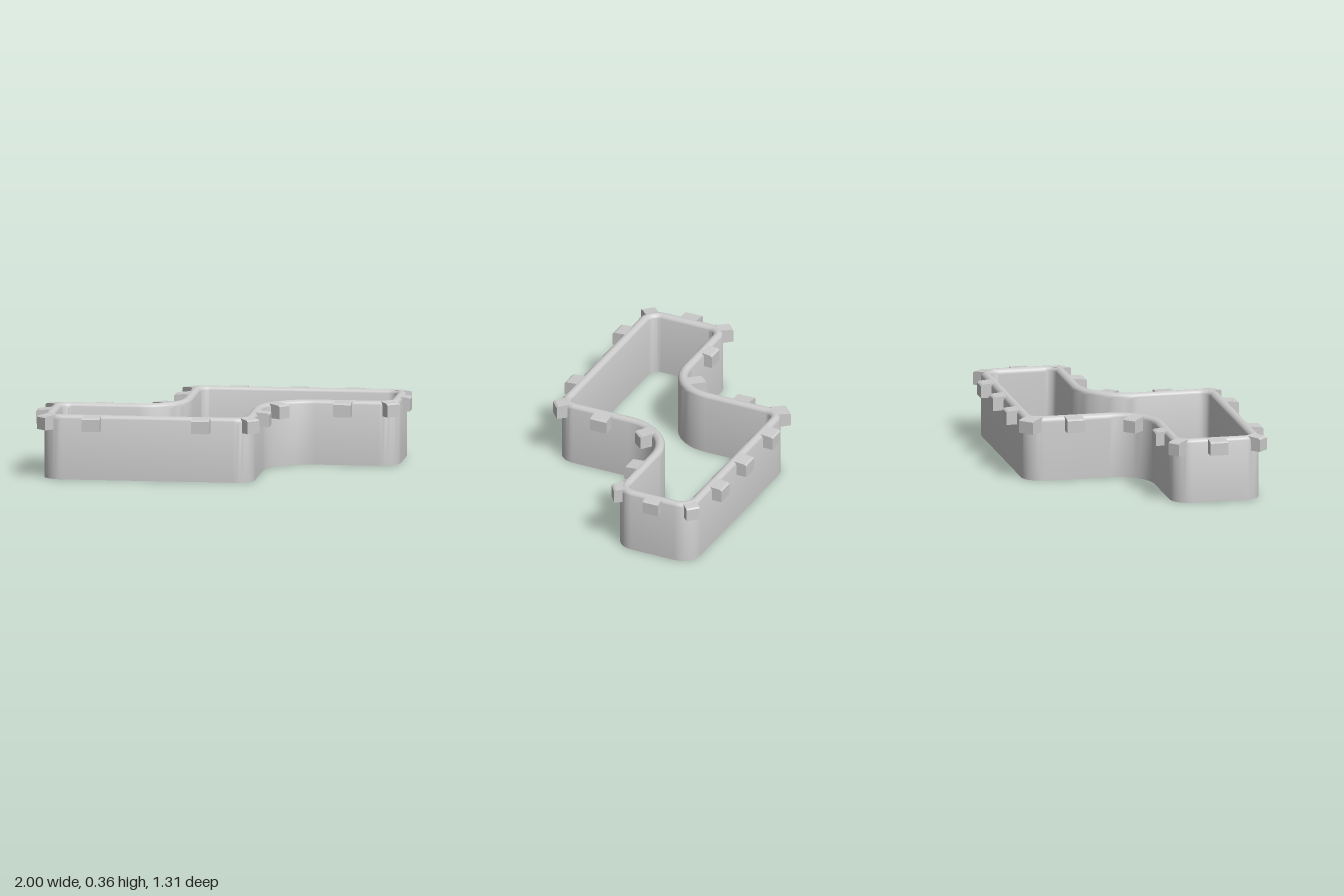
import * as THREE from 'three';
import { toCreasedNormals } from 'three/addons/utils/BufferGeometryUtils.js';

const HEIGHT = 0.36, HALF = 0.029; // wall height and half thickness

// Wall centreline corners: x, z, fillet radius
const CORNERS = [
  [0.928, -0.567, 0.08], [0.928, -0.144, 0.08], [0.206, -0.144, 0.29], [0.206, 0.566, 0.08],
  [-0.91, 0.566, 0.08], [-0.91, 0.12, 0.08], [-0.222, 0.12, 0.24], [-0.222, -0.567, 0.08],
];

// Samples the filleted outline as points with outward normals
function outline(steps = 12) {
  const n = CORNERS.length, result = [];
  const at = (i) => new THREE.Vector2(...CORNERS[(i + n) % n].slice(0, 2));
  for (let i = 0; i < n; i++) {
    const p = at(i), r = CORNERS[i][2];
    const din = p.clone().sub(at(i - 1)).normalize();
    const dout = at(i + 1).sub(p).normalize();
    const sign = Math.sign(din.cross(dout)); // +1 convex, -1 concave
    const centre = p.clone().addScaledVector(din, -r).addScaledVector(dout, r);
    for (let k = 0; k <= steps; k++) {
      const t = (k / steps) * Math.PI / 2, c = Math.cos(t), s = Math.sin(t);
      const normal = new THREE.Vector2(din.y * c + dout.y * s, -din.x * c - dout.x * s);
      result.push({ point: centre.clone().addScaledVector(normal, sign * r), normal });
    }
  }
  return result;
}

// Sweeps the wall section, flat below and half-round on top, along the outline
function wallGeometry() {
  const section = [[-HALF, 0], [HALF, 0]];
  for (let k = 0; k <= 10; k++) {
    const a = (k / 10) * Math.PI;
    section.push([HALF * Math.cos(a), HEIGHT - HALF + HALF * Math.sin(a)]);
  }
  const path = outline(), m = section.length, positions = [], index = [];
  path.forEach(({ point, normal }, i) => {
    section.forEach(([offset, y], j) => {
      positions.push(point.x + normal.x * offset, y, point.y + normal.y * offset);
      const i2 = (i + 1) % path.length, j2 = (j + 1) % m;
      const a = i * m + j, b = i2 * m + j, c = i * m + j2, d = i2 * m + j2;
      index.push(a, c, b, b, c, d);
    });
  });
  const geometry = new THREE.BufferGeometry();
  geometry.setAttribute('position', new THREE.Float32BufferAttribute(positions, 3));
  geometry.setIndex(index);
  return toCreasedNormals(geometry.toNonIndexed(), 0.6);
}

// Block with a gently sloping top; its outer face is at z = 0 and it runs back to -depth
function blockGeometry(width, depth) {
  const side = new THREE.Shape([
    [0, 0.277], [0, 0.345], [-0.01, 0.352], [-depth, 0.359], [-depth, 0.277],
  ].map(([x, y]) => new THREE.Vector2(x, y)));
  const geometry = new THREE.ExtrudeGeometry(side, { depth: width, bevelEnabled: false });
  geometry.translate(0, 0, -width / 2);
  return geometry.rotateY(-Math.PI / 2);
}

// Blocks: centre of outer face x, z, facing angle in degrees (0 = front, 90 = +x), width, depth
const BLOCKS = [
  [0.005, -0.655, 180, 0.1, 0.09], [0.34, -0.655, 180, 0.1, 0.09], [0.65, -0.655, 180, 0.1, 0.09],
  [0.948, -0.601, 135, 0.076, 0.085], [0.997, -0.36, 90, 0.095, 0.075],
  [0.933, -0.099, 37, 0.08, 0.085], [0.65, -0.053, 0, 0.1, 0.09],
  [0.342, 0.035, 51, 0.078, 0.1], [0.297, 0.3, 90, 0.1, 0.09],
  [0.24, 0.594, 42, 0.08, 0.085], [-0.05, 0.652, 0, 0.1, 0.085], [-0.66, 0.652, 0, 0.1, 0.085],
  [-0.944, 0.599, -45, 0.076, 0.085], [-1, 0.337, -90, 0.1, 0.09],
  [-0.955, 0.088, -138, 0.07, 0.085], [-0.66, 0.043, 180, 0.095, 0.08],
  [-0.372, -0.032, -135, 0.076, 0.11], [-0.313, -0.32, -90, 0.1, 0.09],
  [-0.27, -0.595, -137, 0.095, 0.09],
];

export function createModel() {
  const model = new THREE.Group();
  model.name = 'cutter';
  const grey = new THREE.MeshStandardMaterial({ color: 0xcccccc });

  const wall = new THREE.Mesh(wallGeometry(), grey);
  wall.name = 'wall';
  model.add(wall);

  // Small grips around the rim
  const grips = new THREE.Group();
  grips.name = 'rimBlocks';
  BLOCKS.forEach(([x, z, angle, width, depth]) => {
    const block = new THREE.Mesh(blockGeometry(width, depth), grey);
    block.name = 'rimBlock';
    block.position.set(x, 0, z);
    block.rotation.y = THREE.MathUtils.degToRad(angle);
    grips.add(block);
  });
  model.add(grips);
  return model;
}
